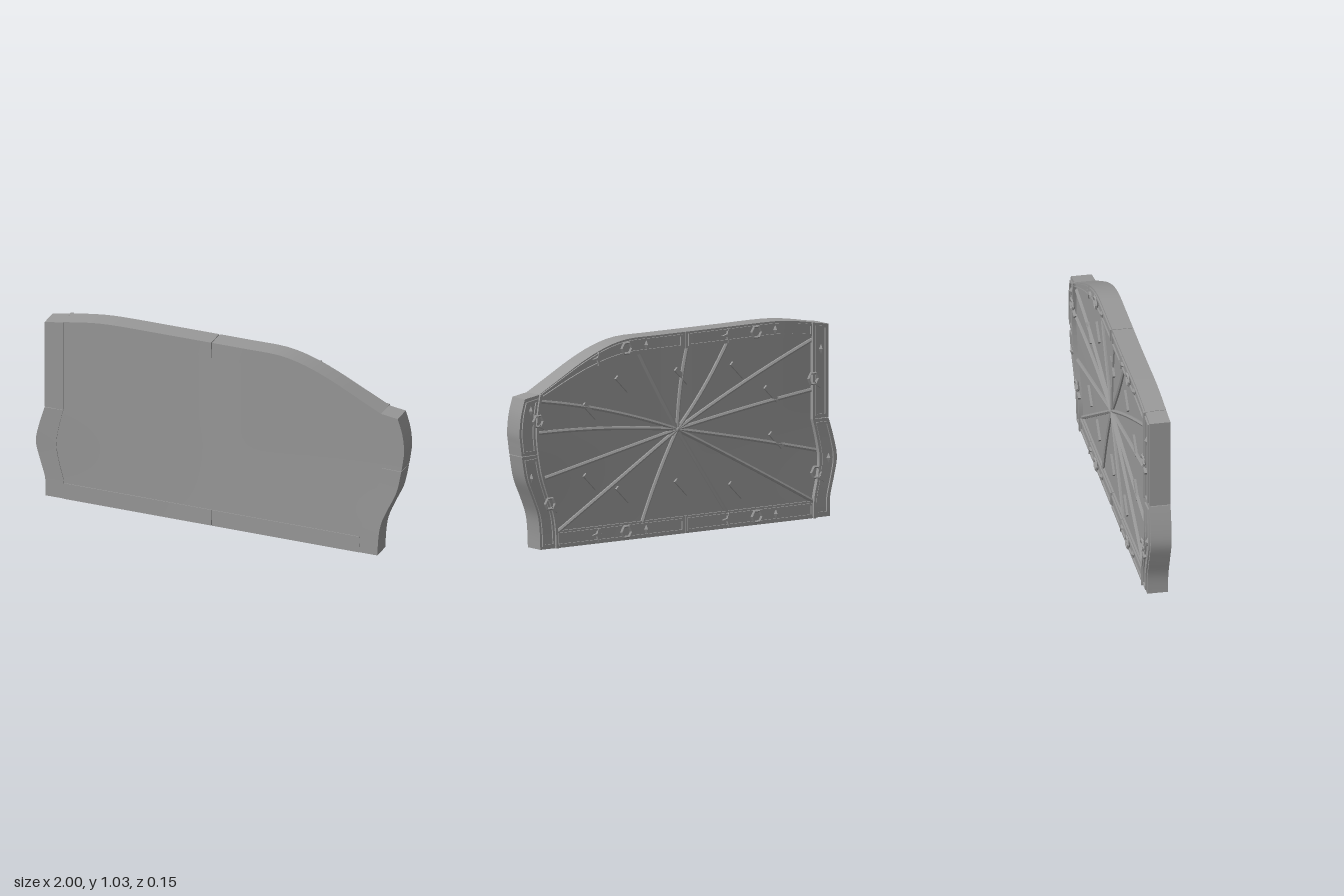
import * as THREE from 'three';
import { toCreasedNormals } from 'three/addons/utils/BufferGeometryUtils.js';

const grey = new THREE.MeshStandardMaterial({ color: 0x999999 });
grey.name = 'grey';

const FRONT = 0.061, BACK = -0.046, PANEL_FRONT = 0.057, PANEL_BACK = -0.036;

// Smooth curve through a few [x, y] points
const curve = pts => new THREE.SplineCurve(pts.map(p => new THREE.Vector2(...p)));

// Frame sections: curves a and b are the two long edges
const sections = {
  topRailRight: {
    a: curve([[-0.85, 0.92], [-0.72, 0.937], [-0.58, 0.945], [-0.3, 0.945], [-0.045, 0.945]]),
    b: curve([[-0.85, 1.0], [-0.72, 1.02], [-0.58, 1.03], [-0.3, 1.03], [-0.045, 1.03]]),
  },
  topRailLeft: {
    a: curve([[-0.045, 0.945], [0.14, 0.945], [0.32, 0.942], [0.46, 0.92], [0.6, 0.882], [0.74, 0.83], [0.88, 0.772]]),
    b: curve([[-0.045, 1.03], [0.14, 1.03], [0.32, 1.028], [0.46, 0.997], [0.6, 0.94], [0.74, 0.868], [0.88, 0.795]]),
  },
  bottomRailRight: { a: curve([[-0.85, 0], [-0.045, 0]]), b: curve([[-0.85, 0.088], [-0.045, 0.088]]) },
  bottomRailLeft: { a: curve([[-0.045, 0], [0.76, 0]]), b: curve([[-0.045, 0.088], [0.764, 0.088]]) },
  upperPostRight: { a: curve([[-0.95, 0.985], [-0.95, 0.505]]), b: curve([[-0.85, 1.0], [-0.85, 0.505]]) },
  lowerPostRight: {
    a: curve([[-0.95, 0.505], [-0.982, 0.4], [-1, 0.3], [-0.978, 0.2], [-0.952, 0.1], [-0.95, 0]]),
    b: curve([[-0.85, 0.505], [-0.876, 0.4], [-0.89, 0.3], [-0.875, 0.2], [-0.852, 0.1], [-0.85, 0]]),
  },
  upperPostLeft: {
    a: curve([[0.868, 0.8], [0.882, 0.72], [0.891, 0.62], [0.888, 0.55], [0.88, 0.493]]),
    b: curve([[0.965, 0.785], [0.99, 0.7], [1, 0.61], [0.994, 0.55], [0.985, 0.49]]),
  },
  lowerPostLeft: {
    a: curve([[0.88, 0.493], [0.858, 0.39], [0.82, 0.28], [0.78, 0.18], [0.764, 0.09], [0.76, 0]]),
    b: curve([[0.985, 0.49], [0.96, 0.37], [0.915, 0.27], [0.878, 0.18], [0.864, 0.09], [0.86, 0]]),
  },
};

const at = (sec, t, s) => sec.a.getPoint(t).lerp(sec.b.getPoint(t), s);

// Gentle twist of the whole board
function bend(geo) {
  const p = geo.attributes.position;
  for (let i = 0; i < p.count; i++) {
    const x = p.getX(i), k = THREE.MathUtils.smoothstep(p.getY(i), 0, 0.55);
    p.setZ(i, p.getZ(i) - 0.014 * x * Math.abs(x) * k);
  }
  return geo;
}

function add(group, name, geo) {
  const mesh = new THREE.Mesh(toCreasedNormals(bend(geo), 0.5), grey);
  mesh.name = name;
  group.add(mesh);
}

// Box mapped so u, v in 0..1 follow a rule; depth runs z0..z1
function mapped(nu, nv, z0, z1, rule) {
  const geo = new THREE.BoxGeometry(1, 1, 1, nu, nv, 1), p = geo.attributes.position;
  for (let i = 0; i < p.count; i++) {
    const q = rule(p.getX(i) + 0.5, p.getY(i) + 0.5);
    p.setXYZ(i, q.x, q.y, p.getZ(i) > 0 ? z1 : z0);
  }
  return geo;
}

const strip = (sec, t0, t1, s0, s1, z0, z1) => mapped(18, 1, z0, z1, (u, v) =>
  at(sec, THREE.MathUtils.lerp(t0, t1, u), THREE.MathUtils.lerp(s0, s1, v)));

// y of the rail centre line at a given x
function topAt(x) {
  const sec = x < -0.045 ? sections.topRailRight : sections.topRailLeft;
  let lo = 0, hi = 1;
  for (let i = 0; i < 20; i++) {
    const m = (lo + hi) / 2;
    if (at(sec, m, 0.5).x < x) lo = m; else hi = m;
  }
  return at(sec, lo, 0.5).y;
}

// x of a post's centre line at a given y
function postX(upper, lower, y) {
  let best = 0, err = 9;
  for (const sec of [upper, lower]) for (let i = 0; i <= 60; i++) {
    const q = at(sec, i / 60, 0.5), d = Math.abs(q.y - y);
    if (d < err) { err = d; best = q.x; }
  }
  return best;
}

export function createModel() {
  const model = new THREE.Group();
  model.name = 'framedBoard';

  // Central panel, its edges tucked into the frame
  const S = sections;
  add(model, 'panel', mapped(44, 24, PANEL_BACK, PANEL_FRONT, (u, v) => {
    const y = 0.03 + v * 0.95;
    const x = THREE.MathUtils.lerp(postX(S.upperPostRight, S.lowerPostRight, y),
      postX(S.upperPostLeft, S.lowerPostLeft, Math.min(y, 0.78)), u);
    return new THREE.Vector2(x, 0.03 + v * (topAt(x) - 0.03));
  }));

  // Frame sections, each with a raised border on the back
  for (const [name, sec] of Object.entries(sections)) {
    const part = new THREE.Group();
    part.name = name;
    const len = sec.a.getLength(), gap = 0.003 / len, e = 0.025 / len, w = 0.012 / len;
    add(part, 'body', strip(sec, gap, 1 - gap, 0, 1, BACK, FRONT));
    const z0 = BACK - 0.008, z1 = BACK + 0.002;
    add(part, 'borderLow', strip(sec, e, 1 - e, 0.12, 0.24, z0, z1));
    add(part, 'borderHigh', strip(sec, e, 1 - e, 0.76, 0.88, z0, z1));
    add(part, 'borderStart', strip(sec, e, e + w, 0.24, 0.76, z0, z1));
    add(part, 'borderEnd', strip(sec, 1 - e - w, 1 - e, 0.24, 0.76, z0, z1));
    // Bead along the inner edge of the posts
    if (name.includes('Post')) {
      const s = name.endsWith('Right') ? 0.93 : -0.07;
      add(part, 'innerBead', strip(sec, 0, 1, s, s + 0.14, BACK - 0.012, PANEL_BACK + 0.01));
    }
    model.add(part);
  }

  // Ribs fanning out from the middle of the back: [x, y, bow]
  const cx = 0, cy = 0.535;
  const ribs = [[0.22, 0.08, 0.015], [-0.31, 0.08, 0.01], [-0.86, 0.08, 0.01], [-0.87, 0.345, 0.01],
    [-0.86, 0.656, 0.015], [-0.86, 0.915, 0.03], [-0.31, 0.945, -0.02], [-0.06, 0.945, 0.02],
    [0.24, 0.945, 0.015], [0.86, 0.76, 0.045], [0.88, 0.6, 0.03], [0.86, 0.36, 0], [0.77, 0.07, 0]];
  ribs.forEach(([x, y, bow], i) => {
    const path = new THREE.QuadraticBezierCurve3(
      new THREE.Vector3(cx, cy, PANEL_BACK - 0.002),
      new THREE.Vector3((cx + x) / 2 + (Math.abs(x) < 0.4 ? bow : 0), (cy + y) / 2 + bow, PANEL_BACK - 0.004),
      new THREE.Vector3(x, y, PANEL_BACK - 0.002));
    add(model, 'rib' + (i + 1), new THREE.TubeGeometry(path, 16, 0.011, 6));
  });
  add(model, 'hub', new THREE.SphereGeometry(0.016, 10, 8).translate(cx, cy, PANEL_BACK - 0.003));

  // Short slanted bars between the ribs
  const bars = [[0.55, 0.683], [0.345, 0.8], [-0.027, 0.806], [-0.377, 0.802], [-0.59, 0.66],
    [-0.62, 0.42], [-0.366, 0.19], [-0.027, 0.237], [0.34, 0.235], [0.545, 0.32]];
  for (const [x, y] of bars) add(model, 'slantedBar',
    new THREE.BoxGeometry(0.11, 0.022, 0.016).rotateZ(Math.PI / 4).translate(x, y, PANEL_BACK - 0.004));

  // Small ornaments on the back of the frame
  const star = (x, y) => {
    const pts = [];
    for (let i = 0; i < 8; i++) {
      const r = i % 2 ? 0.011 : 0.036, a = i * Math.PI / 4;
      pts.push(new THREE.Vector2(r * Math.cos(a), r * Math.sin(a)));
    }
    const geo = new THREE.ExtrudeGeometry(new THREE.Shape(pts), { depth: 0.014, bevelEnabled: false });
    add(model, 'star', geo.translate(x, y, BACK - 0.013));
  };
  const ring = (x, y) => add(model, 'hexRing',
    new THREE.TorusGeometry(0.031, 0.008, 4, 6).translate(x, y, BACK - 0.01));
  const diamond = (x, y) => add(model, 'diamond',
    new THREE.OctahedronGeometry(1).scale(0.014, 0.026, 0.014).translate(x, y, BACK - 0.004));
  for (const [dx, make] of [[0.504, star], [0.33, ring], [0.2, diamond], [-0.31, star], [-0.485, ring], [-0.61, diamond]]) {
    make(dx, 0.045);
    make(dx, topAt(dx));
  }
  for (const [x, y] of [[0.93, 0.72], [0.925, 0.375], [-0.9, 0.86], [-0.945, 0.3]]) diamond(x, y);

  // Hooks on the inner edges of the posts
  for (const [x, y] of [[0.89, 0.665], [0.81, 0.235], [-0.845, 0.715], [-0.86, 0.235]]) {
    ring(x, y);
    add(model, 'hookTail', new THREE.BoxGeometry(0.05, 0.014, 0.014)
      .rotateZ(0.5).translate(x - 0.03, y - 0.035, BACK - 0.008));
  }
  return model;
}
